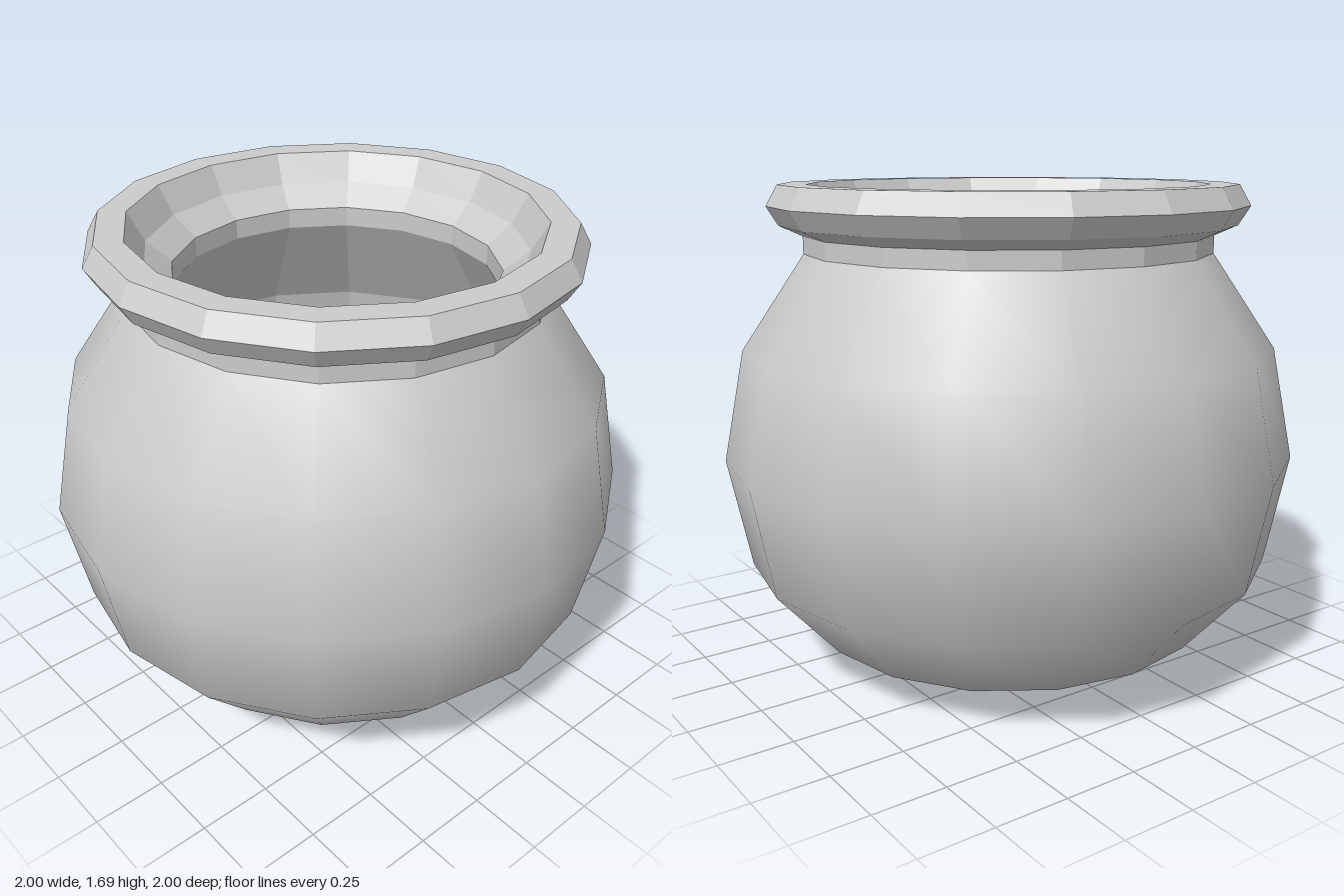
import * as THREE from 'three';

const SIDES = 16;

// Revolves [radius, height] points; profiles run up the outside and down the inside
function turned(name, points, flatShading) {
  const profile = points.map(([r, y]) => new THREE.Vector2(r, y));
  const material = new THREE.MeshStandardMaterial({ color: 0xcccccc, flatShading });
  const mesh = new THREE.Mesh(new THREE.LatheGeometry(profile, SIDES), material);
  mesh.name = name;
  return mesh;
}

export function createModel() {
  const pot = new THREE.Group();
  pot.name = 'pot';

  // Rounded outer belly, smooth shaded
  pot.add(turned('belly', [
    [0.385, 0], [0.707, 0.13], [0.924, 0.375], [1, 0.757], [0.924, 1.14], [0.707, 1.46],
  ], false));

  // Flat underside
  pot.add(turned('base', [[0, 0], [0.385, 0]], true));

  // Faceted neck and flared lip, ending at the inner throat
  pot.add(turned('neckAndLip', [
    [0.707, 1.46], [0.707, 1.52], [0.785, 1.555], [0.825, 1.62], [0.785, 1.69],
    [0.69, 1.69], [0.635, 1.59], [0.55, 1.52], [0.55, 1.45],
  ], true));

  // Hollow interior, following the belly at wall thickness
  pot.add(turned('interior', [
    [0.55, 1.45], [0.77, 1.08], [0.84, 0.757], [0.77, 0.44], [0.57, 0.24], [0.26, 0.15], [0, 0.15],
  ], true));

  return pot;
}
